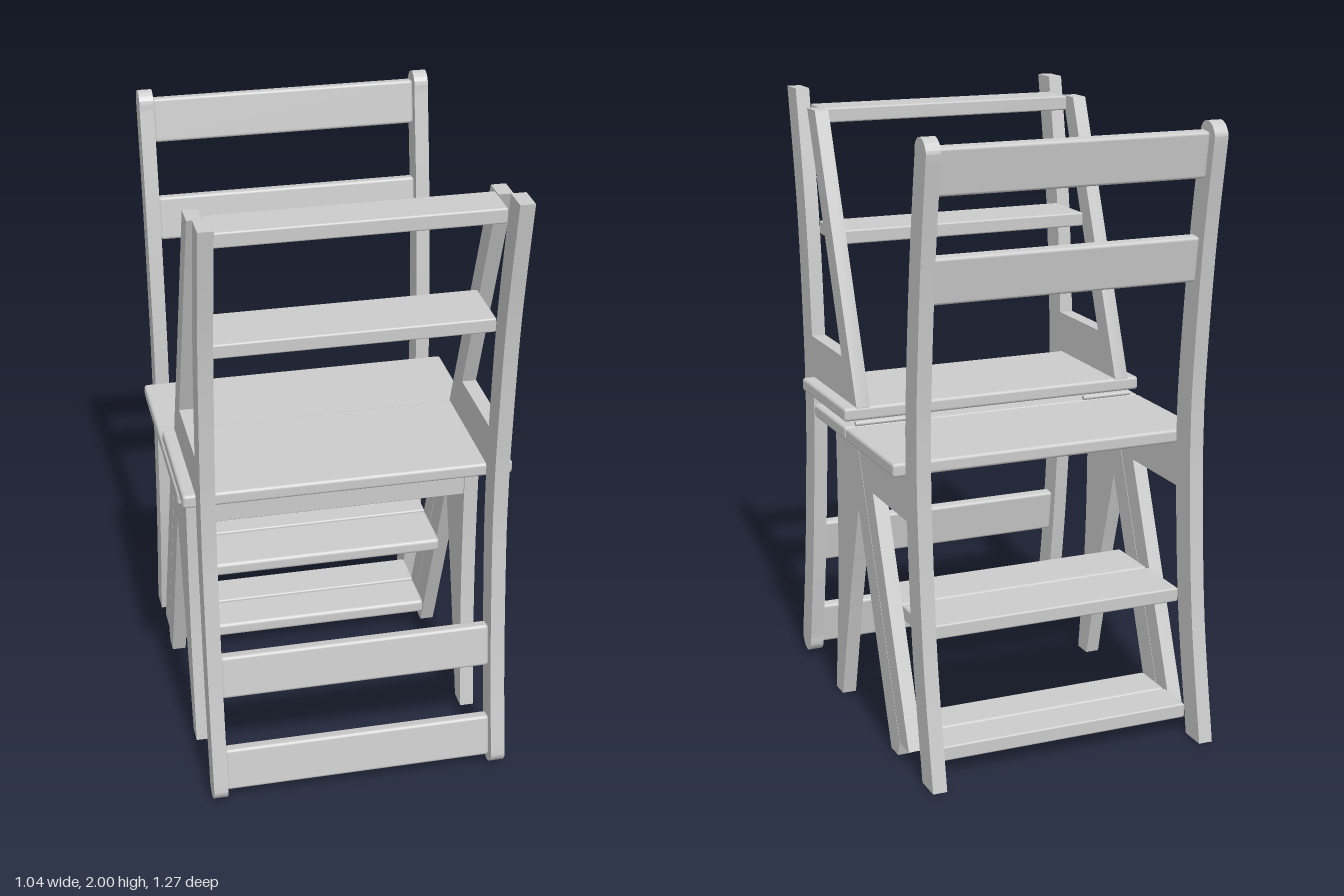
import * as THREE from 'three';
import { toCreasedNormals } from 'three/addons/utils/BufferGeometryUtils.js';
import { RoundedBoxGeometry } from 'three/addons/geometries/RoundedBoxGeometry.js';

const material = new THREE.MeshStandardMaterial({ color: 0xcccccc });
const SIDE_X = 0.457, SIDE_W = 0.046, INNER_W = 0.868;

function add(parent, name, geometry) {
  const mesh = new THREE.Mesh(geometry, material);
  mesh.name = name;
  parent.add(mesh);
  return mesh;
}

// Board given by its z and y ranges, centred on x
function board(parent, name, width, z0, z1, y0, y1, radius = 0.006) {
  const mesh = add(parent, name, new RoundedBoxGeometry(width, y1 - y0, z1 - z0, 2, radius));
  mesh.position.set(0, (y0 + y1) / 2, (z0 + z1) / 2);
  return mesh;
}

// Side profile drawn in (z, y), cut from a plank and mirrored left and right
function sidePair(parent, name, shape) {
  const g = new THREE.ExtrudeGeometry(shape, { depth: SIDE_W, bevelEnabled: false, curveSegments: 10 });
  g.translate(0, 0, -SIDE_W / 2);
  g.rotateY(-Math.PI / 2);
  const smooth = toCreasedNormals(g, 0.5);
  add(parent, name + 'Left', smooth).position.x = SIDE_X;
  add(parent, name + 'Right', smooth).position.x = -SIDE_X;
}

const vectors = (points) => points.map(([z, y]) => new THREE.Vector2(z, y));

// Bowed back post, from floor to rounded top
function postShape() {
  const s = new THREE.Shape();
  s.moveTo(-0.637, 0);
  s.lineTo(-0.547, 0);
  s.splineThru(vectors([[-0.475, 0.4], [-0.44, 0.8], [-0.434, 1.0], [-0.442, 1.2], [-0.484, 1.6], [-0.536, 1.93]]));
  s.splineThru(vectors([[-0.54, 1.96], [-0.558, 1.979], [-0.582, 1.984], [-0.608, 1.972], [-0.624, 1.948], [-0.624, 1.93]]));
  s.splineThru(vectors([[-0.572, 1.6], [-0.532, 1.2], [-0.526, 1.0], [-0.532, 0.8], [-0.566, 0.4], [-0.637, 0]]));
  return s;
}

// Back half of the chair: posts, slats, half seat, rail with strut, half steps
function backHalf(name) {
  const g = new THREE.Group();
  g.name = name;
  sidePair(g, 'backPost', postShape());
  sidePair(g, 'railAndStrut', new THREE.Shape(vectors([
    [-0.003, 0.945], [-0.353, 0.05], [-0.432, 0.05], [-0.138, 0.81], [-0.445, 0.81], [-0.445, 0.955], [-0.003, 0.955],
  ])));
  board(g, 'rearSeat', 1.04, -0.434, -0.001, 0.948, 0.992, 0.01);
  for (const [y, z] of [[1.56, -0.523], [1.884, -0.571]]) {
    const slat = board(g, 'backSlat', INNER_W, z - 0.021, z + 0.021, y - 0.072, y + 0.072, 0.01);
    slat.rotation.x = -0.14;
  }
  board(g, 'rearMiddleStep', INNER_W, -0.473, -0.262, 0.428, 0.474);
  board(g, 'rearLowerStep', INNER_W, -0.535, -0.4, 0.05, 0.098);
  return g;
}

// Front half: forked legs, apron, front seat, half steps
function frontHalf() {
  const g = new THREE.Group();
  g.name = 'frontHalf';
  const s = new THREE.Shape();
  s.moveTo(0.21, 0.955);
  s.splineThru(vectors([[0.208, 0.65], [0.222, 0.35], [0.262, 0]]));
  s.lineTo(0.195, 0);
  s.splineThru(vectors([[0.145, 0.2], [0.088, 0.42], [0.04, 0.58], [0, 0.72]]));
  s.lineTo(-0.275, 0);
  s.lineTo(-0.335, 0);
  s.lineTo(-0.351, 0.05);
  s.lineTo(0.001, 0.945);
  s.lineTo(0.001, 0.955);
  s.closePath();
  sidePair(g, 'frontLeg', s);
  board(g, 'frontSeat', 1.04, 0.001, 0.31, 0.948, 0.992, 0.01);
  board(g, 'apron', INNER_W, 0.165, 0.205, 0.81, 0.95, 0.003);
  board(g, 'frontMiddleStep', INNER_W, -0.258, -0.058, 0.428, 0.474, 0.012);
  board(g, 'frontLowerStep', INNER_W, -0.396, -0.245, 0.05, 0.098, 0.012);
  return g;
}

export function createModel() {
  const model = new THREE.Group();
  model.name = 'foldingStepChair';
  model.add(backHalf('uprightBackHalf'), frontHalf());

  // Second back half swung over the seat hinge by half a turn
  const folded = backHalf('foldedBackHalf');
  folded.rotation.x = Math.PI;
  folded.position.y = 2;
  model.add(folded);

  // Hinge barrels between the two seat boards
  for (const side of [-1, 1]) {
    const hinge = add(model, 'hinge', new THREE.CylinderGeometry(0.008, 0.008, 0.17, 12));
    hinge.rotation.z = Math.PI / 2;
    hinge.position.set(side * 0.4, 1, 0);
  }
  return model;
}
